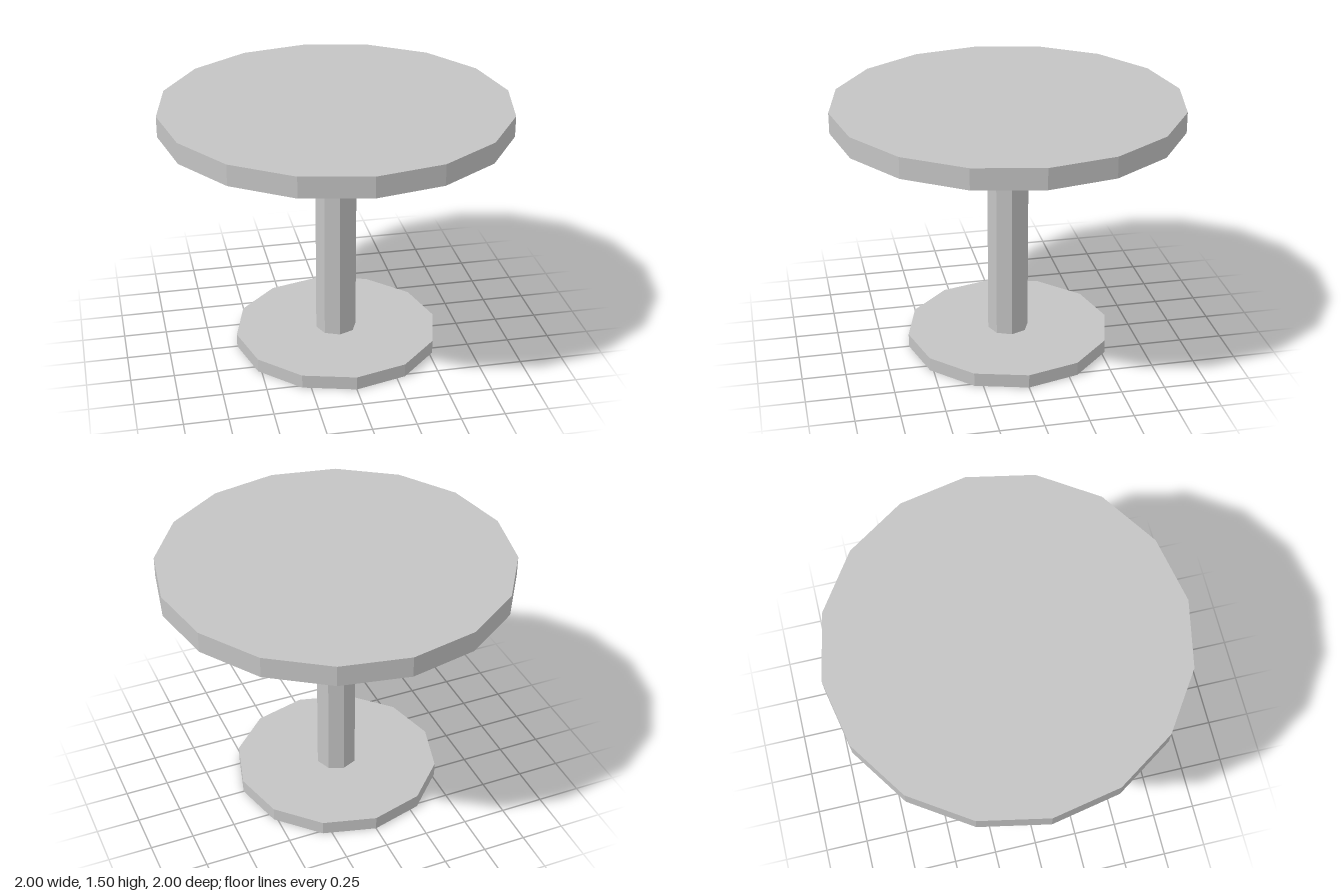
import * as THREE from 'three';

export function createModel() {
  const group = new THREE.Group();
  group.name = 'pedestalTable';
  const grey = new THREE.MeshStandardMaterial({ color: 0xc4c4c4, flatShading: true });
  grey.name = 'light grey';

  // Faceted disc or post between two heights
  const addPrism = (name, radius, bottom, top, sides) => {
    const mesh = new THREE.Mesh(new THREE.CylinderGeometry(radius, radius, top - bottom, sides), grey);
    mesh.name = name;
    mesh.position.y = (bottom + top) / 2;
    group.add(mesh);
  };

  addPrism('base', 0.6, 0, 0.08, 12);
  addPrism('column', 0.12, 0.08, 1.385, 8);
  addPrism('tableTop', 1, 1.385, 1.505, 16);
  return group;
}
